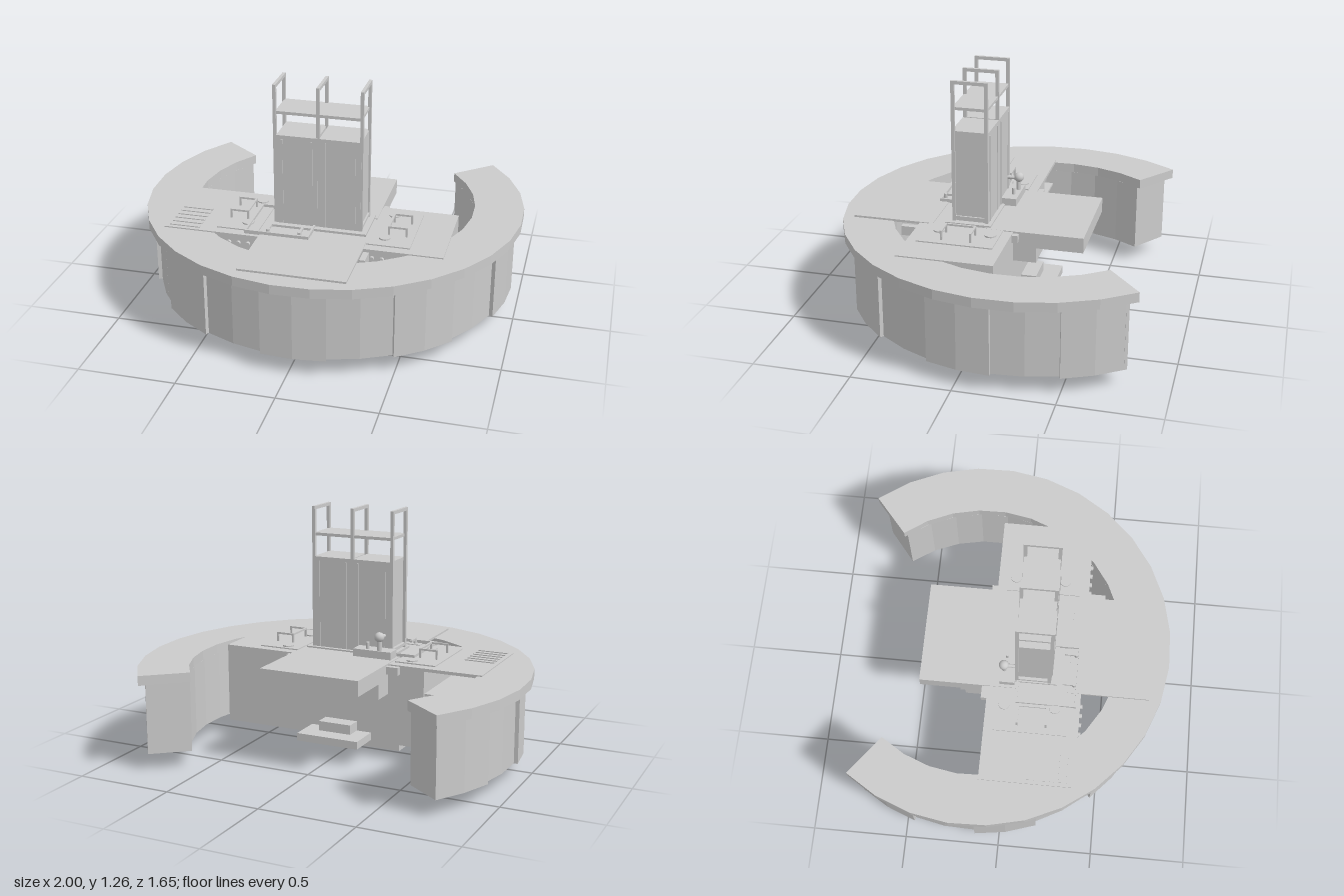
import * as THREE from 'three';

const mat = new THREE.MeshStandardMaterial({ color: 0xcccccc, flatShading: true, side: THREE.DoubleSide });
const smooth = new THREE.MeshStandardMaterial({ color: 0xcccccc });
const RING_Z = -0.18; // centre of the curved counter
const deg = Math.PI / 180;

export function createModel() {
  const root = new THREE.Group();
  const group = (name) => {
    const g = new THREE.Group();
    g.name = name;
    root.add(g);
    return g;
  };
  const add = (parent, name, geo, material = mat) => {
    const m = new THREE.Mesh(geo, material);
    m.name = name;
    parent.add(m);
    return m;
  };
  // box given by its limits on each axis
  const box = (parent, name, x0, x1, y0, y1, z0, z1) =>
    add(parent, name, new THREE.BoxGeometry(x1 - x0, y1 - y0, z1 - z0)
      .translate((x0 + x1) / 2, (y0 + y1) / 2, (z0 + z1) / 2));
  // hollow rectangle lying flat
  const frame = (parent, name, x0, x1, y0, y1, z0, z1, t) => {
    box(parent, name, x0, x1, y0, y1, z0, z0 + t);
    box(parent, name, x0, x1, y0, y1, z1 - t, z1);
    box(parent, name, x0, x0 + t, y0, y1, z0 + t, z1 - t);
    box(parent, name, x1 - t, x1, y0, y1, z0 + t, z1 - t);
  };
  const cyl = (parent, name, r, h, x, y, z, axis = 'y') => {
    const g = new THREE.CylinderGeometry(r, r, h, 16);
    if (axis === 'z') g.rotateX(Math.PI / 2);
    return add(parent, name, g.translate(x, y, z));
  };
  // curved slab; angle 0 points to the front, positive towards +x
  const sector = (parent, name, r0, r1, a0, a1, n, y0, y1) => {
    const pts = [];
    const put = (r, a) => pts.push(new THREE.Vector2(r * Math.sin(a * deg), -r * Math.cos(a * deg)));
    for (let i = 0; i <= n; i++) put(r1, a0 + (a1 - a0) * i / n);
    for (let i = n; i >= 0; i--) put(r0, a0 + (a1 - a0) * i / n);
    const geo = new THREE.ExtrudeGeometry(new THREE.Shape(pts), { depth: y1 - y0, bevelEnabled: false });
    return add(parent, name, geo.rotateX(-Math.PI / 2).translate(0, y0, RING_Z));
  };

  // curved counter: top, inner wall, stepped outer panels, end panels
  const counter = group('curvedCounter');
  const A0 = -127.7, A1 = 130.5, N = 23;
  sector(counter, 'counterTop', 0.745, 1.003, A0, A1, N, 0.45, 0.5);
  const B0 = A0 + 1.5, B1 = A1 - 1.5;
  sector(counter, 'innerWall', 0.745, 0.76, B0, B1, N, 0.085, 0.45);
  const panels = 13, step = (B1 - B0) / panels;
  for (let i = 0; i < panels; i++) {
    const r = i % 2 ? 0.945 : 0.965;
    sector(counter, 'outerPanel', r - 0.025, r, B0 + i * step, B0 + (i + 1) * step, 2, 0.085, 0.45);
  }
  sector(counter, 'endPanel', 0.745, 0.965, B0, B0 + 1, 1, 0.085, 0.45);
  sector(counter, 'endPanel', 0.745, 0.965, B1 - 1, B1, 1, 0.085, 0.45);

  // island body with an open shelf bay at the back
  const island = group('island');
  box(island, 'cabinet', -0.46, 0.675, 0.085, 0.49, -0.12, 0.37);
  box(island, 'bayFloor', -0.765, -0.46, 0.085, 0.1, -0.12, 0.37);
  box(island, 'baySide', -0.765, -0.75, 0.1, 0.49, -0.12, 0.37);
  box(island, 'bayFront', -0.75, -0.46, 0.1, 0.49, 0.355, 0.37);
  for (const y of [0.23, 0.36]) box(island, 'bayShelf', -0.75, -0.46, y, y + 0.012, -0.11, 0.355);
  box(island, 'islandTop', -0.765, 0.675, 0.49, 0.506, -0.12, 0.37);

  // front and rear serving leaves
  const leaves = group('servingLeaves');
  box(leaves, 'frontLeaf', -0.265, 0.275, 0.497, 0.51, 0.3, 0.725);
  box(leaves, 'rearLeaf', -0.265, 0.275, 0.495, 0.51, -0.48, 0.03);
  frame(leaves, 'rearLeafRim', -0.265, 0.275, 0.43, 0.495, -0.48, -0.12, 0.012);
  for (const x of [-0.265, 0.235]) box(leaves, 'leafBracket', x, x + 0.04, 0.35, 0.43, -0.24, -0.12);
  box(leaves, 'frontBracket', 0.275, 0.305, 0.44, 0.49, 0.37, 0.46);
  box(leaves, 'rearBracket', -0.33, -0.265, 0.46, 0.5, -0.15, -0.12);
  box(leaves, 'rearBracket', 0.275, 0.305, 0.46, 0.5, -0.15, -0.12);

  // rear foot step
  const steps = group('rearStep');
  box(steps, 'lowerStep', -0.17, 0.17, 0.09, 0.13, -0.29, -0.12);
  box(steps, 'upperStep', -0.09, 0.09, 0.13, 0.18, -0.2, -0.12);

  // hollow base under the island
  const base = group('base');
  frame(base, 'baseCollar', -0.29, 0.295, 0.05, 0.085, 0.005, 0.305, 0.04);
  frame(base, 'basePlinth', -0.27, 0.28, 0, 0.06, 0.02, 0.29, 0.02);
  for (const x of [-0.285, 0.29]) for (const z of [0.015, 0.3])
    add(base, 'baseBolt', new THREE.SphereGeometry(0.01, 10, 8).translate(x, 0.06, z), smooth);
  for (const side of [-1, 1]) for (let i = 0; i < 5; i++)
    box(base, 'undersideSlot', side * 0.4 - 0.06, side * 0.4 + 0.06, 0.08, 0.086, 0.03 + i * 0.05, 0.04 + i * 0.05);

  // twin tall cabinets
  const tower = group('tower');
  box(tower, 'towerFoot', -0.23, 0.26, 0.5, 0.518, 0.0, 0.24);
  for (const x of [-0.21, 0.012]) {
    box(tower, 'tallCabinet', x, x + 0.213, 0.5, 1.0, 0.02, 0.21);
    for (const z of [0.016, 0.208]) for (const dx of [0.025, 0.178])
      box(tower, 'doorStrip', x + dx, x + dx + 0.008, 0.52, 0.98, z, z + 0.006);
  }

  // three upright frames carrying the high shelf
  for (const x of [-0.218, 0.004, 0.226]) {
    const f = group('uprightFrame');
    for (const z of [0.02, 0.19]) box(f, 'post', x - 0.008, x + 0.008, 0.5, 1.262, z, z + 0.018);
    box(f, 'topBar', x - 0.008, x + 0.008, 1.245, 1.262, 0.02, 0.208);
    box(f, 'lowBar', x - 0.008, x + 0.008, 0.53, 0.545, 0.02, 0.208);
  }
  box(tower, 'highShelf', -0.215, 0.225, 1.11, 1.125, 0.024, 0.204);

  // cooking stations on both sides, mirrored
  for (const s of [-1, 1]) {
    const st = group(s < 0 ? 'rightStation' : 'leftStation');
    const span = (name, xa, xb, y0, y1, z0, z1) =>
      box(st, name, Math.min(s * xa, s * xb), Math.max(s * xa, s * xb), y0, y1, z0, z1);
    span('stationPlate', 0.28, 0.5, 0.506, 0.512, -0.07, 0.32);
    for (const z of [-0.025, 0.24]) cyl(st, 'burner', 0.03, 0.01, s * 0.357, 0.514, z);
    // raised pot rail
    for (const z of [0.045, 0.195]) {
      for (const x of [0.365, 0.455]) span('railLeg', x, x + 0.01, 0.506, 0.562, z, z + 0.01);
      span('railBar', 0.365, 0.465, 0.552, 0.562, z, z + 0.01);
    }
    span('railLink', 0.365, 0.375, 0.552, 0.562, 0.045, 0.205);
    // control knobs on the front face
    for (let i = 0; i < 4; i++) cyl(st, 'knob', 0.012, 0.016, s * (0.32 + i * 0.05), 0.46, 0.376, 'z');
  }

  // sink tray with two levers
  const tray = group('tray');
  frame(tray, 'trayRim', -0.345, -0.01, 0.506, 0.526, 0.03, 0.35, 0.01);
  for (const x of [-0.225, -0.06]) {
    box(tray, 'lever', x - 0.006, x + 0.006, 0.526, 0.538, 0.27, 0.34);
    cyl(tray, 'leverPivot', 0.01, 0.03, x, 0.522, 0.33);
  }

  // tap behind the tower
  const tap = group('tap');
  box(tap, 'tapBase', -0.25, -0.04, 0.506, 0.55, -0.06, 0.02);
  cyl(tap, 'tapColumn', 0.012, 0.08, -0.18, 0.58, -0.04);
  cyl(tap, 'tapArm', 0.01, 0.08, -0.18, 0.615, -0.005, 'z');
  add(tap, 'tapBall', new THREE.SphereGeometry(0.026, 16, 12).translate(-0.18, 0.62, -0.042), smooth);
  cyl(tap, 'tapHandle', 0.009, 0.04, -0.11, 0.565, -0.03);
  frame(tap, 'rearHatch', 0.04, 0.26, 0.508, 0.514, 0.0, 0.06, 0.006);

  // slatted drain at the right end
  const drain = group('drain');
  for (let i = 0; i < 6; i++)
    box(drain, 'drainSlat', -0.745, -0.585, 0.506, 0.511, 0.12 + i * 0.042, 0.138 + i * 0.042);

  return root;
}
